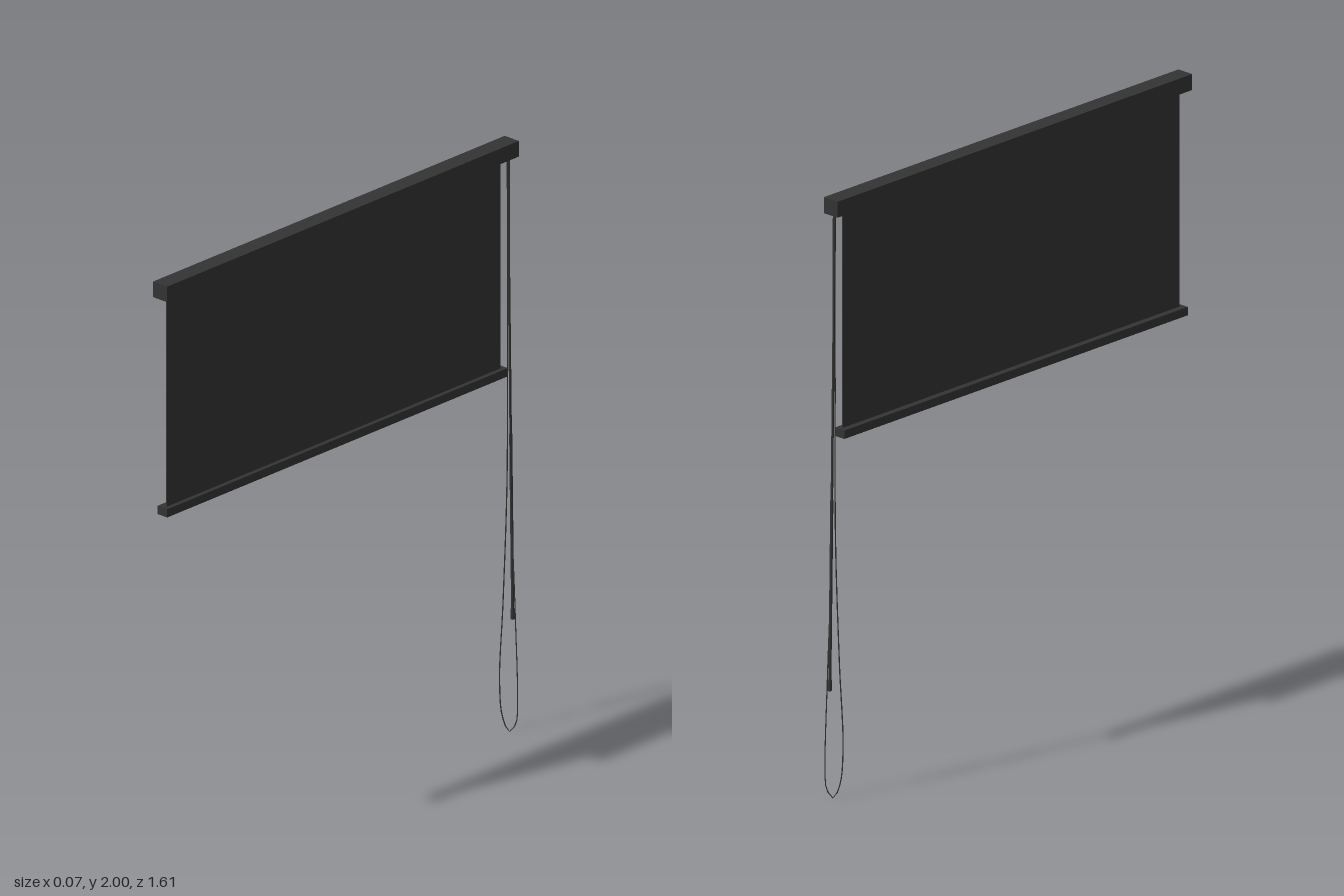
import * as THREE from 'three';

export function createModel() {
  const group = new THREE.Group();
  const dark = new THREE.MeshStandardMaterial({ color: 0x333333 });

  function add(name, geometry) {
    const mesh = new THREE.Mesh(geometry, dark);
    mesh.name = name;
    group.add(mesh);
    return mesh;
  }

  // Box given by its limits on each axis
  function box(name, [x0, x1], [y0, y1], [z0, z1]) {
    const mesh = add(name, new THREE.BoxGeometry(x1 - x0, y1 - y0, z1 - z0));
    mesh.position.set((x0 + x1) / 2, (y0 + y1) / 2, (z0 + z1) / 2);
  }

  // Rod between two points
  function rod(name, a, b, radius) {
    const from = new THREE.Vector3(...a), to = new THREE.Vector3(...b);
    const dir = to.clone().sub(from);
    const mesh = add(name, new THREE.CylinderGeometry(radius, radius, dir.length(), 10));
    mesh.position.copy(from).add(to).multiplyScalar(0.5);
    mesh.quaternion.setFromUnitVectors(new THREE.Vector3(0, 1, 0), dir.normalize());
  }

  // Blind: head rail, hanging fabric and weighted bottom bar
  box('headRail', [-0.035, 0.025], [1.947, 2], [-0.79, 0.805]);
  box('fabric', [-0.016, -0.011], [1.22, 1.96], [-0.745, 0.768]);
  box('bottomBar', [-0.037, 0.004], [1.205, 1.233], [-0.762, 0.783]);

  // Tilt wand, with a slightly thicker grip and end cap
  rod('wand', [-0.006, 1.96, -0.772], [-0.006, 0.38, -0.795], 0.004);
  rod('wandGrip', [-0.006, 1.0, -0.786], [-0.006, 0.4, -0.795], 0.005);
  rod('wandCap', [-0.006, 0.405, -0.795], [-0.006, 0.37, -0.7955], 0.0065);

  // Pull cord: two strands that spread into a loop at the bottom
  const cordPath = new THREE.CatmullRomCurve3([
    [-0.004, 1.96, -0.769], [-0.004, 1.4, -0.769], [-0.003, 0.85, -0.766],
    [-0.009, 0.45, -0.755], [-0.016, 0.17, -0.746], [-0.01, 0.05, -0.753],
    [0.008, 0.002, -0.765],
    [0.024, 0.03, -0.778], [0.027, 0.1, -0.782], [0.02, 0.4, -0.779],
    [0.004, 0.85, -0.775], [0, 1.4, -0.774], [0, 1.96, -0.773],
  ].map((p) => new THREE.Vector3(...p)));
  add('pullCord', new THREE.TubeGeometry(cordPath, 160, 0.002, 6));

  return group;
}
